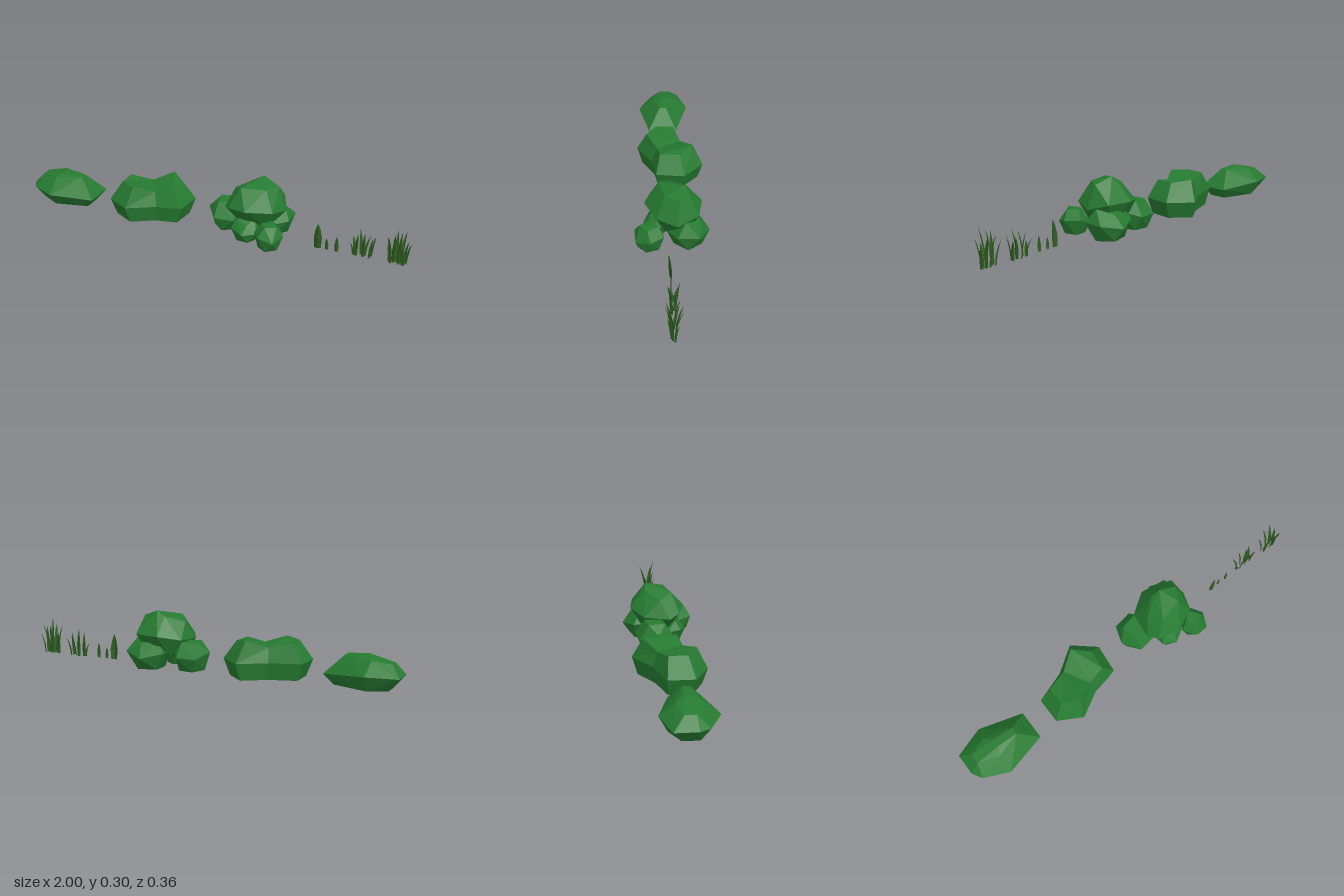
import * as THREE from 'three';
import { ConvexGeometry } from 'three/addons/geometries/ConvexGeometry.js';

const leaf = new THREE.MeshStandardMaterial({ color: 0x267a31, flatShading: true });
const blade = new THREE.MeshStandardMaterial({ color: 0x2c5a1e, flatShading: true, side: THREE.DoubleSide });

function add(parent, name, geometry, material) {
  const mesh = new THREE.Mesh(geometry, material);
  mesh.name = name;
  parent.add(mesh);
  return mesh;
}

// Faceted convex lump from corner points [x, y, z]
const hull = (points) => new ConvexGeometry(points.map((p) => new THREE.Vector3(...p)));

// Flat-bottomed lump filling a box, with uneven rings: [height, radius, sides, turn]
function lump(x0, x1, y0, y1, z0, z1, turn) {
  const points = [];
  for (const [h, r, n, a0] of [[0, 0.72, 5, 0], [0.5, 1.04, 6, 0.5], [0.9, 0.6, 4, 0.2]]) {
    for (let i = 0; i < n; i++) {
      const a = a0 + turn + (i / n) * Math.PI * 2;
      const tilt = h > 0.1 ? 0.1 * Math.cos(a * 2 + turn) : 0;
      points.push([
        (x0 + x1) / 2 + (Math.cos(a) * r * (x1 - x0)) / 2,
        y0 + (y1 - y0) * (h + tilt),
        (z0 + z1) / 2 + (Math.sin(a) * r * (z1 - z0)) / 2,
      ]);
    }
  }
  return hull(points);
}

// Low saddle bush: three stacked rings of a waisted outline, with a dip across the top
function saddleGeometry() {
  const outline = [[-0.525, -0.02], [-0.37, -0.075], [-0.24, -0.165], [-0.13, -0.07],
    [-0.145, 0.075], [-0.27, 0.10], [-0.405, 0.178], [-0.525, 0.11]];
  const topY = [0.19, 0.165, 0.2, 0.185, 0.185, 0.165, 0.195, 0.19];
  const cx = -0.33, cz = 0.008, n = outline.length;
  const ring = (s, y) => outline.map(([x, z], i) =>
    [cx + (x - cx) * s, Array.isArray(y) ? y[i] : y, cz + (z - cz) * s]);
  const positions = [ring(0.85, 0.01), ring(1, 0.095), ring(0.7, topY)].flat(2);
  const index = [];
  for (let r = 0; r < 2; r++) {
    for (let i = 0; i < n; i++) {
      const a = r * n + i, b = r * n + ((i + 1) % n);
      index.push(a, a + n, b, b, a + n, b + n);
    }
  }
  // caps split along the waist line between corners 1 and 5
  const cap = [[0, 7, 1], [1, 7, 6], [1, 6, 5], [1, 5, 2], [2, 5, 4], [2, 4, 3]];
  for (const [a, b, c] of cap) index.push(a + 2 * n, b + 2 * n, c + 2 * n, a, c, b);
  const g = new THREE.BufferGeometry();
  g.setAttribute('position', new THREE.Float32BufferAttribute(positions, 3));
  g.setIndex(index);
  g.computeVertexNormals();
  return g;
}

// Folded, tapering blade that curves from its root towards (leanX, leanZ)
function bladeGeometry(x, z, height, leanX, leanZ, width) {
  const len = Math.hypot(leanX, leanZ) || 1;
  const dx = leanX / len, dz = leanZ / len;
  const positions = [], index = [];
  [[0, 0.8], [0.4, 1], [0.75, 0.6], [1, 0]].forEach(([t, w], level) => {
    for (const side of [-1, 0, 1]) {
      const s = (side * w * width) / 2;
      const fold = side === 0 ? 0.3 * w * width : 0;
      positions.push(x + leanX * t * t - dz * s + dx * fold, height * t,
        z + leanZ * t * t + dx * s + dz * fold);
    }
    if (level < 3) {
      for (let k = 0; k < 2; k++) {
        const a = level * 3 + k;
        index.push(a, a + 1, a + 3, a + 1, a + 4, a + 3);
      }
    }
  });
  const g = new THREE.BufferGeometry();
  g.setAttribute('position', new THREE.Float32BufferAttribute(positions, 3));
  g.setIndex(index);
  g.computeVertexNormals();
  return g;
}

// Tuft of blades: [x, z, height, leanX, leanZ] relative to its centre
function tuft(parent, name, cx, cz, blades, width) {
  const group = new THREE.Group();
  group.name = name;
  for (const [x, z, h, lx, lz] of blades) {
    add(group, 'grassBlade', bladeGeometry(cx + x, cz + z, h, lx, lz, width), blade);
  }
  parent.add(group);
}

export function createModel() {
  const model = new THREE.Group();
  model.name = 'bushesAndGrass';

  // Oval bush
  add(model, 'ovalBush', hull([
    [-0.94, 0.01, 0], [-0.85, 0.01, -0.05], [-0.675, 0.01, 0], [-0.675, 0.01, 0.09],
    [-0.845, 0.01, 0.13], [-0.94, 0.01, 0.08],
    [-1, 0.08, -0.04], [-0.85, 0.085, -0.09], [-0.63, 0.065, -0.03], [-0.63, 0.065, 0.12],
    [-0.845, 0.08, 0.178], [-0.97, 0.08, 0.12], [-1, 0.08, 0.07],
    [-0.95, 0.135, 0.01], [-0.95, 0.135, 0.06], [-0.86, 0.147, -0.02], [-0.85, 0.147, 0.1],
    [-0.825, 0.165, 0.02], [-0.825, 0.165, 0.06], [-0.72, 0.157, 0.025], [-0.72, 0.157, 0.06],
  ]), leaf);

  add(model, 'saddleBush', saddleGeometry(), leaf);

  // Clustered bush: a tall crown over smaller lumps
  const cluster = new THREE.Group();
  cluster.name = 'clusteredBush';
  model.add(cluster);
  add(cluster, 'crown', hull([
    [0.12, 0.24, 0.0], [0.17, 0.268, 0.06], [0.2, 0.27, -0.07], [0.245, 0.297, -0.065],
    [0.33, 0.265, -0.04], [0.29, 0.268, 0.03],
    [0.085, 0.15, 0.05], [0.1, 0.16, -0.08], [0.2, 0.18, -0.147], [0.33, 0.18, -0.13],
    [0.375, 0.15, -0.03], [0.34, 0.17, 0.07], [0.22, 0.18, 0.13], [0.12, 0.17, 0.1],
    [0.18, 0.06, 0.04], [0.3, 0.07, 0.03], [0.28, 0.06, -0.08], [0.17, 0.06, -0.07],
  ]), leaf);
  add(cluster, 'leftLump', lump(-0.025, 0.16, 0.007, 0.165, -0.13, 0.07, 0.4), leaf);
  add(cluster, 'backLump', lump(0.17, 0.4, 0.007, 0.16, -0.18, 0.02, 0), leaf);
  add(cluster, 'frontLump', lump(0.13, 0.275, 0.007, 0.115, 0, 0.135, 1), leaf);
  add(cluster, 'cornerLump', lump(0.265, 0.405, 0.007, 0.14, 0.03, 0.18, 1.5), leaf);

  // Single blades, then two tufts
  add(model, 'wideBlade', bladeGeometry(0.55, 0, 0.135, 0.002, 0.012, 0.04), blade);
  add(model, 'smallBlade', bladeGeometry(0.595, 0, 0.06, 0, 0.002, 0.018), blade);
  add(model, 'slimBlade', bladeGeometry(0.645, 0, 0.08, 0, 0.002, 0.02), blade);
  tuft(model, 'shortTuft', 0.77, -0.01, [
    [-0.038, 0, 0.09, -0.018, -0.025], [-0.03, 0.01, 0.125, 0.012, 0.022],
    [-0.045, 0.005, 0.07, -0.012, 0.015], [-0.008, -0.006, 0.13, -0.015, -0.02],
    [0.004, 0.008, 0.14, 0.012, 0.025], [0.012, 0, 0.11, 0.02, -0.02],
    [0.04, -0.005, 0.1, 0.015, -0.025], [0.035, 0.01, 0.12, 0.02, 0.012],
  ], 0.017);
  tuft(model, 'tallTuft', 0.94, -0.008, [
    [-0.04, 0, 0.12, -0.018, -0.025], [-0.032, 0.01, 0.15, -0.012, 0.025],
    [-0.02, 0, 0.165, 0.008, 0.03], [-0.006, -0.008, 0.155, -0.012, -0.035],
    [0.006, 0.008, 0.185, 0.015, 0.03], [0.014, -0.004, 0.16, 0.012, -0.04],
    [0.03, 0.004, 0.14, 0.022, 0.02], [0.038, -0.006, 0.105, 0.018, -0.018],
    [0.024, 0.01, 0.11, -0.01, 0.02],
  ], 0.018);

  return model;
}
